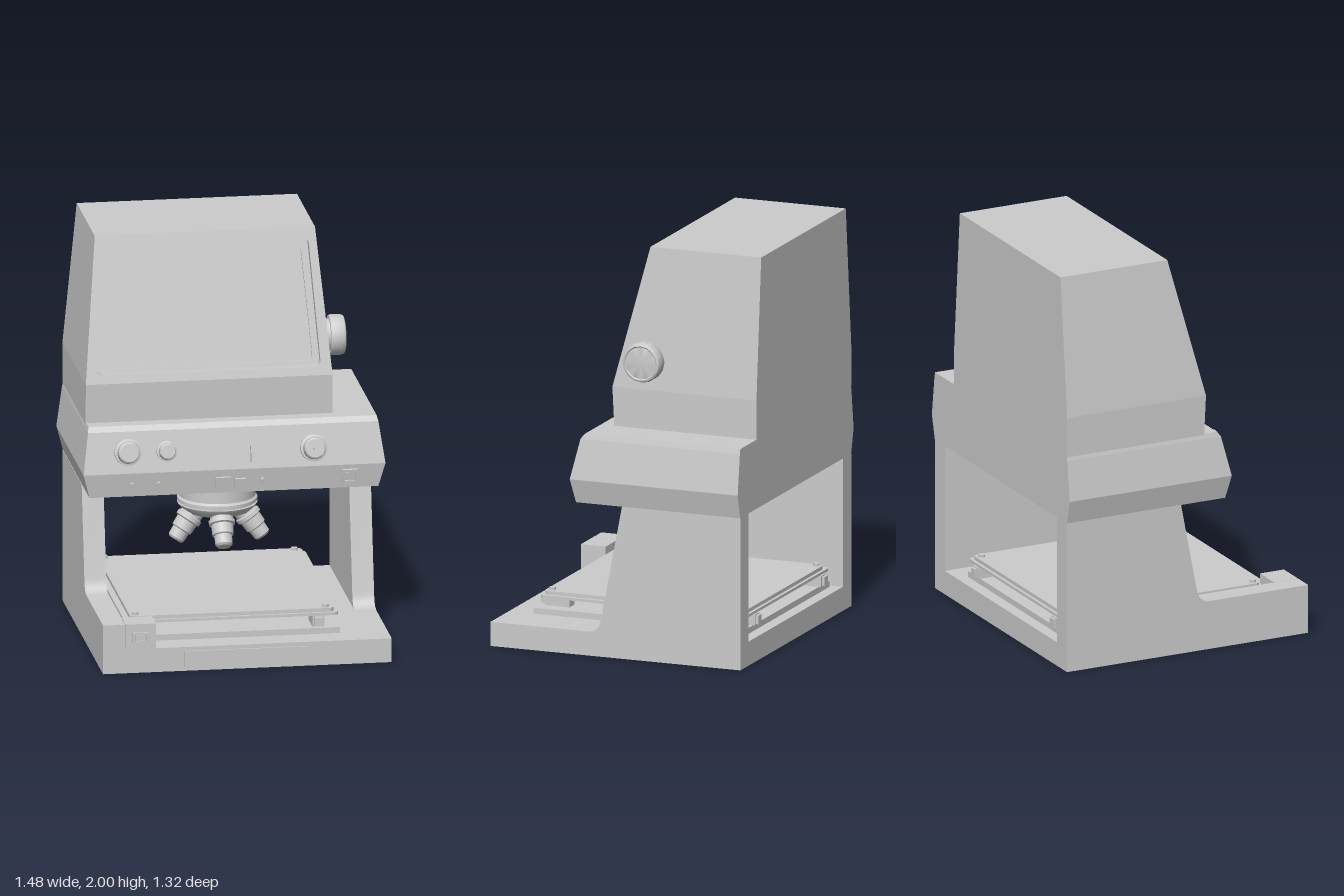
import * as THREE from 'three';
import { toCreasedNormals } from 'three/addons/utils/BufferGeometryUtils.js';

const mat = new THREE.MeshStandardMaterial({ color: 0xcccccc, side: THREE.DoubleSide });

function add(parent, name, geo, x = 0, y = 0, z = 0) {
  const m = new THREE.Mesh(geo, mat);
  m.name = name;
  m.position.set(x, y, z);
  parent.add(m);
  return m;
}

// box given by its limits on each axis
function box(parent, name, x0, x1, y0, y1, z0, z1) {
  return add(parent, name, new THREE.BoxGeometry(x1 - x0, y1 - y0, z1 - z0),
    (x0 + x1) / 2, (y0 + y1) / 2, (z0 + z1) / 2);
}

const polygon = (pts) => new THREE.Shape(pts.map(([x, y]) => new THREE.Vector2(x, y)));

// polygon with rounded corners
function rounded(pts, r) {
  const s = new THREE.Shape();
  const v = pts.map(([x, y]) => new THREE.Vector2(x, y));
  v.forEach((p, i) => {
    const a = v[(i + v.length - 1) % v.length], b = v[(i + 1) % v.length];
    const p0 = a.clone().sub(p).setLength(r).add(p);
    const p1 = b.clone().sub(p).setLength(r).add(p);
    if (i) s.lineTo(p0.x, p0.y); else s.moveTo(p0.x, p0.y);
    s.quadraticCurveTo(p.x, p.y, p1.x, p1.y);
  });
  s.closePath();
  return s;
}

const rect = (x0, x1, y0, y1) => [[x0, y0], [x1, y0], [x1, y1], [x0, y1]];

// front outline extruded between two surfaces z = back(y) and z = front(y)
function slab(parent, name, shape, back, front) {
  const g = new THREE.ExtrudeGeometry(shape, { depth: 1, bevelEnabled: false, curveSegments: 6 });
  const p = g.attributes.position;
  for (let i = 0; i < p.count; i++) {
    const y = p.getY(i);
    p.setZ(i, THREE.MathUtils.lerp(back(y), front(y), p.getZ(i)));
  }
  return add(parent, name, toCreasedNormals(g, 0.6));
}

function lathe(pts, segments = 32) {
  const g = new THREE.LatheGeometry(pts.map(([r, y]) => new THREE.Vector2(r, y)), segments);
  return toCreasedNormals(g, 0.6);
}

// turned knob whose axis is +z
function knob(parent, name, r, depth, x, y) {
  const k = add(parent, name, lathe([[r, 0], [r, depth * 0.35], [r * 0.84, depth * 0.4],
    [r * 0.78, depth * 0.92], [r * 0.68, depth], [0, depth]], 28), x, y, 0);
  k.rotation.x = Math.PI / 2;
  return k;
}

// thin frame with a raised rocker, on a face looking along +z
function rocker(parent, name, x, y, w, h, z = 0) {
  const f = polygon(rect(x - w / 2, x + w / 2, y - h / 2, y + h / 2));
  f.holes.push(polygon(rect(x - w * 0.33, x + w * 0.33, y - h * 0.33, y + h * 0.33)));
  slab(parent, name + 'Frame', f, () => z - 0.005, () => z + 0.012);
  box(parent, name, x - w * 0.3, x + w * 0.3, y - h * 0.3, y + h * 0.3, z - 0.005, z + 0.009);
}

export function createModel() {
  const model = new THREE.Group();
  const back = () => -0.66;

  // base with raised control corner
  box(model, 'base', -0.71, 0.705, 0, 0.12, -0.66, 0.65);
  box(model, 'controlBox', -0.6, -0.45, 0.12, 0.245, 0.52, 0.65);
  box(model, 'frontPlate', -0.31, 0.29, 0.02, 0.1, 0.645, 0.658);
  rocker(model, 'powerSwitch', -0.525, 0.178, 0.085, 0.05, 0.648);

  // side legs; foot is the height at which each one meets the base
  for (const [name, x, foot] of [['rightLeg', -0.71, 0.245], ['leftLeg', 0.6, 0.12]]) {
    const s = new THREE.Shape();
    const z = (y) => -0.04 + (0.76 - y) * 0.19;
    s.moveTo(-0.66, 0.1);
    if (foot > 0.12) s.lineTo(0.65, 0.1).lineTo(0.65, foot);
    else s.lineTo(z(foot) + 0.04, 0.1);
    s.lineTo(z(foot) + 0.05, foot);
    s.quadraticCurveTo(z(foot), foot, z(foot + 0.07), foot + 0.07);
    s.lineTo(-0.04, 0.76).lineTo(-0.66, 0.76);
    const g = new THREE.ExtrudeGeometry(s, { depth: 0.107, bevelEnabled: false, curveSegments: 8 });
    g.rotateY(-Math.PI / 2); // profile x becomes z, depth becomes -x
    g.translate(x + 0.107, 0, 0);
    add(model, name, toCreasedNormals(g, 0.6));
  }

  // stage: lower plate, rails and the two-layer top plate
  box(model, 'stageBed', -0.58, 0.47, 0.12, 0.15, -0.6, 0.52);
  const layers = [[-0.58, 0.47, 0.49, 0.203, 0.217], [-0.55, 0.45, 0.475, 0.217, 0.235]];
  for (const [x0, x1, z1, y0, y1] of layers) {
    const g = new THREE.ExtrudeGeometry(rounded(rect(x0, x1, -z1, z1 + 0.11), 0.03),
      { depth: y1 - y0, bevelEnabled: false, curveSegments: 6 });
    g.rotateX(-Math.PI / 2);
    add(model, 'stagePlate', toCreasedNormals(g, 0.6), 0, y0, 0);
  }
  for (const x of [-0.475, 0.37]) {
    for (const z of [0.43, -0.54]) {
      box(model, 'stageRail', x - 0.03, x + 0.03, 0.15, 0.203, z - 0.07, z + 0.06);
      const out = Math.sign(z) * 0.07;
      box(model, 'stageStop', x - 0.02, x + 0.02, 0.155, 0.198, z + out - 0.015, z + out + 0.015);
    }
  }
  for (const x of [-0.52, 0.41]) for (const z of [0.445, -0.555])
    add(model, 'stageScrew', new THREE.CylinderGeometry(0.016, 0.016, 0.02, 16), x, 0.238, z);

  // control head stacked from [height, half width, front z]
  const rings = [[0.76, 0.708, 0.2], [0.88, 0.74, 0.22], [1.08, 0.712, 0.175], [1.105, 0.706, 0.155]];
  for (let i = 0; i < 3; i++) {
    const [y0, w0, z0] = rings[i], [y1, w1, z1] = rings[i + 1];
    slab(model, 'controlHead', polygon([[-w0, y0], [w0, y0], [w1, y1], [-w1, y1]]), back,
      (y) => z0 + (z1 - z0) * (y - y0) / (y1 - y0));
  }

  // controls on the upper sloping face (local y runs up the face)
  const upper = new THREE.Group();
  upper.name = 'upperControls';
  upper.position.set(0, 0.88, 0.22);
  upper.rotation.x = -Math.atan2(0.045, 0.2);
  model.add(upper);
  knob(upper, 'largeKnob', 0.066, 0.06, -0.52, 0.105);
  knob(upper, 'smallKnob', 0.05, 0.055, -0.33, 0.103);
  knob(upper, 'dialKnob', 0.066, 0.07, 0.39, 0.09);
  const pointer = box(upper, 'dialPointer', -0.045, 0.045, -0.008, 0.008, -0.005, 0.006);
  pointer.position.set(0.39, 0.09, 0.071);
  pointer.rotation.z = -Math.PI / 4;
  box(upper, 'sliderTrack', -0.175, 0.17, 0.063, 0.081, -0.01, 0.005);
  box(upper, 'sliderHandle', 0.08, 0.11, 0.033, 0.111, -0.01, 0.03);

  // controls on the lower face (local y is negative going down)
  const lower = new THREE.Group();
  lower.name = 'lowerControls';
  lower.position.set(0, 0.88, 0.22);
  lower.rotation.x = Math.atan2(0.02, 0.12);
  model.add(lower);
  box(lower, 'wideButton', -0.092, -0.017, -0.092, -0.037, -0.01, 0.012);
  box(lower, 'narrowButton', 0.002, 0.058, -0.085, -0.047, -0.01, 0.012);
  rocker(lower, 'headSwitch', 0.567, -0.058, 0.075, 0.07);
  for (const x of [-0.5, -0.37, 0.14]) knob(lower, 'stud', 0.012, 0.01, x, -0.06);

  // display hood; the front leans back above y = 1.3
  slab(model, 'hoodFoot', polygon(rect(-0.71, 0.5, 1.1, 1.3)), back, (y) => 0.085 + (y - 1.1) * 0.05);
  const face = (d) => (y) => 0.095 - (y - 1.3) * 0.25 - d;
  const outline = [[-0.71, 1.3], [0.5, 1.3], [0.44, 2], [-0.64, 2]];
  const opening = [[-0.655, 1.34], [0.445, 1.34], [0.405, 1.952], [-0.605, 1.952]];
  const glass = [[-0.613, 1.358], [0.412, 1.358], [0.372, 1.905], [-0.563, 1.905]];
  slab(model, 'hood', polygon(outline), back, face(0.06));
  const frame = (name, hole, d0, d1) => {
    const s = polygon(outline);
    s.holes.push(rounded(hole, 0.035));
    slab(model, name, s, face(d0), face(d1));
  };
  frame('screenBezel', opening, 0.045, 0);
  frame('screenSurround', glass, 0.06, 0.045);

  // focus knob on the hood's side
  const focus = add(model, 'focusKnob', lathe([[0.08, 0], [0.08, 0.03], [0.095, 0.03], [0.1, 0.04],
    [0.1, 0.085], [0.095, 0.1], [0.085, 0.105], [0.08, 0.1], [0, 0.1]], 16), 0.478, 1.45, -0.085);
  focus.rotation.z = -Math.PI / 2;

  // revolving nosepiece and its objectives
  const nose = new THREE.Group();
  nose.name = 'nosepiece';
  nose.position.set(-0.053, 0, 0.01);
  model.add(nose);
  add(nose, 'turret', lathe([[0, 0.6], [0.1, 0.605], [0.16, 0.625], [0.19, 0.655], [0.195, 0.665],
    [0.18, 0.665], [0.18, 0.675], [0.195, 0.675], [0.195, 0.69], [0.185, 0.7], [0.185, 0.77]], 40));
  for (const a of [-75, 0, 75]) {
    const arm = new THREE.Group();
    arm.name = 'objectiveMount';
    arm.rotation.y = THREE.MathUtils.degToRad(a);
    nose.add(arm);
    const o = add(arm, 'objective', lathe([[0, -0.185], [0.032, -0.185], [0.042, -0.175], [0.044, -0.13],
      [0.052, -0.125], [0.054, -0.075], [0.064, -0.07], [0.064, -0.05], [0.056, -0.045], [0.056, 0.03]], 24),
      0, 0.645, 0.115);
    o.rotation.x = -0.63;
  }
  return model;
}
